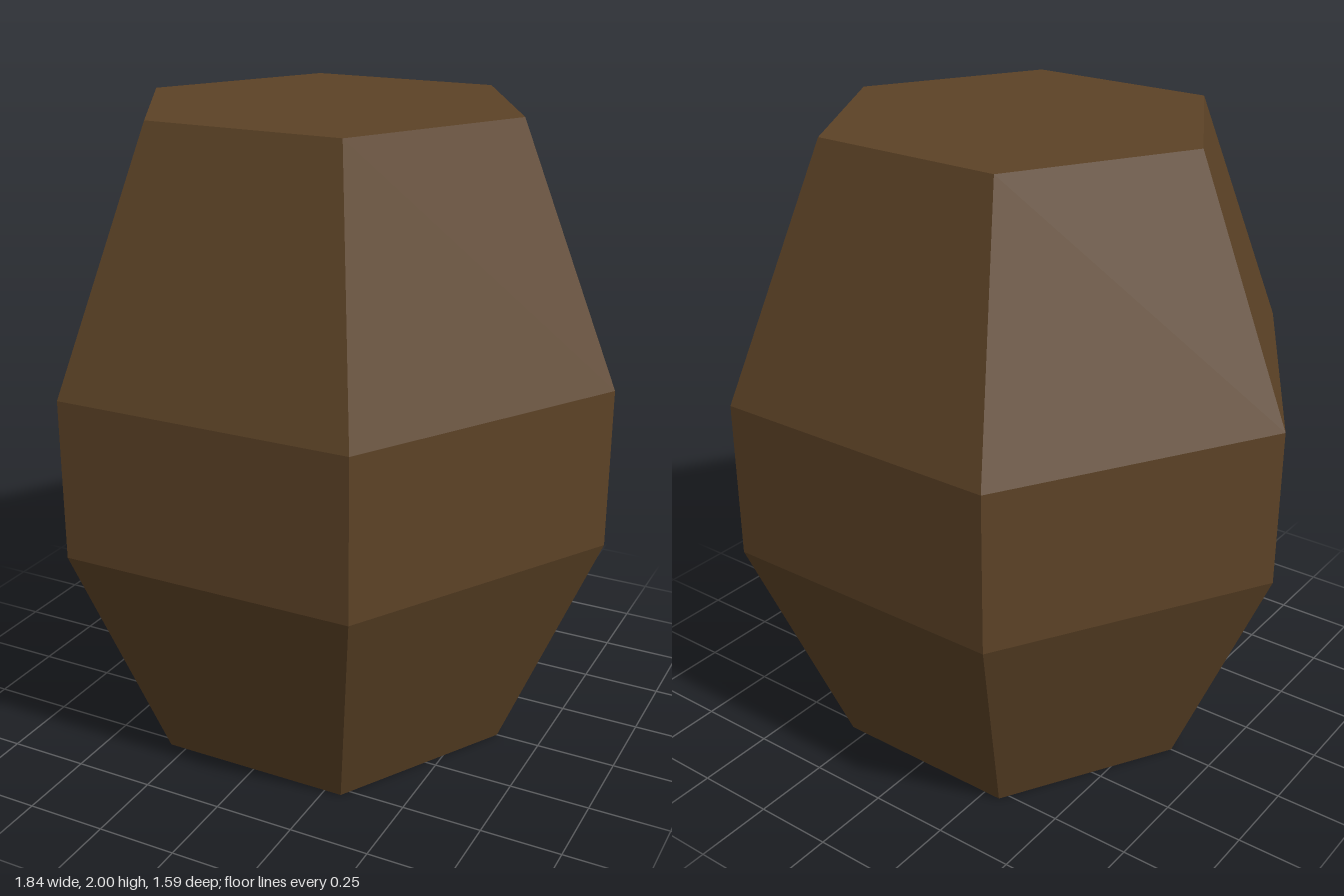
import * as THREE from 'three';

export function createModel() {
  const group = new THREE.Group();
  group.name = 'barrel';
  const wood = new THREE.MeshStandardMaterial({ color: 0x5c4226, flatShading: true });
  wood.name = 'dark brown wood';

  const sides = 6, endRadius = 0.61, bellyRadius = 0.92, height = 2;

  // Six-sided wall, corners on the x axis
  const profile = [
    [endRadius, 0], [bellyRadius, 0.75], [bellyRadius, 1.24], [endRadius, height],
  ].map(([r, y]) => new THREE.Vector2(r, y));
  const wall = new THREE.Mesh(new THREE.LatheGeometry(profile, sides, Math.PI / 2), wood);
  wall.name = 'barrelWall';
  group.add(wall);

  // Flat hexagonal ends
  for (const [name, y, tilt] of [['lid', height, -Math.PI / 2], ['base', 0, Math.PI / 2]]) {
    const end = new THREE.Mesh(new THREE.CircleGeometry(endRadius, sides), wood);
    end.name = name;
    end.rotation.x = tilt;
    end.position.y = y;
    group.add(end);
  }
  return group;
}
